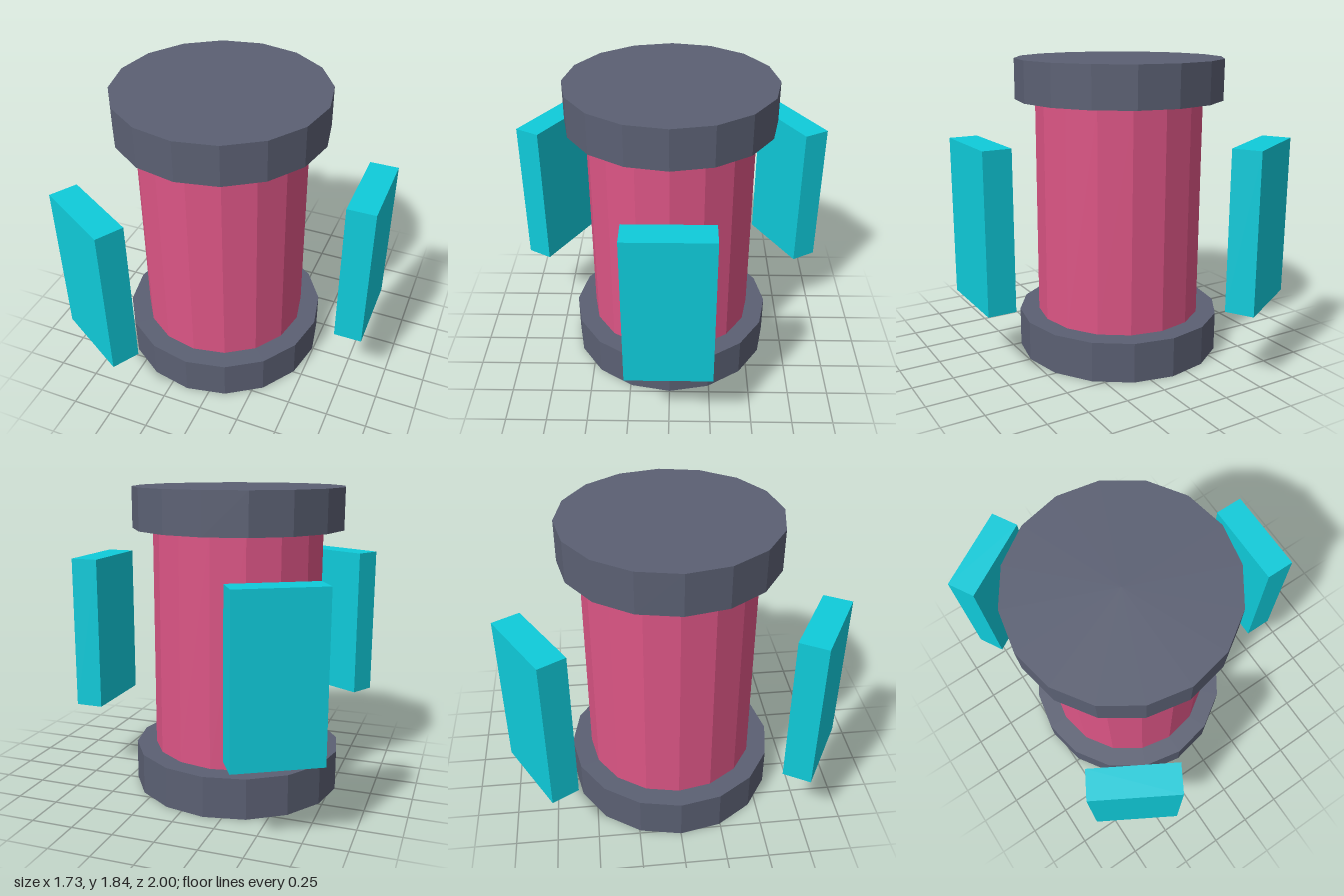
import * as THREE from 'three';

const material = (name, color) => {
  const m = new THREE.MeshStandardMaterial({ color, flatShading: true });
  m.name = name;
  return m;
};

export function createModel() {
  const slate = material('slate grey', 0x5b6073);
  const pink = material('pink', 0xdc5585);
  const cyan = material('cyan', 0x0fcbda);

  const model = new THREE.Group();
  model.name = 'canisterWithPanels';
  // The canister's axis, off centre because the panels reach further to +x
  const core = new THREE.Group();
  core.name = 'core';
  core.position.x = -0.142;
  model.add(core);

  // Sixteen-sided drum standing between y0 and y1
  const drum = (name, radius, y0, y1, mat) => {
    const mesh = new THREE.Mesh(new THREE.CylinderGeometry(radius, radius, y1 - y0, 16), mat);
    mesh.name = name;
    mesh.position.y = (y0 + y1) / 2;
    core.add(mesh);
  };
  drum('bottomCap', 0.637, 0, 0.245, slate);
  drum('body', 0.515, 0.245, 1.595, pink);
  drum('topCap', 0.637, 1.595, 1.84, slate);

  // Three floating panels, evenly spaced round the axis
  const panelGeometry = new THREE.BoxGeometry(0.17, 0.945, 0.51);
  for (let i = 0; i < 3; i++) {
    const angle = (i * Math.PI * 2) / 3;
    const panel = new THREE.Mesh(panelGeometry, cyan);
    panel.name = `panel${i + 1}`;
    panel.position.set(0.92 * Math.cos(angle), 0.92, -0.92 * Math.sin(angle));
    panel.rotation.y = angle;
    core.add(panel);
  }
  return model;
}
